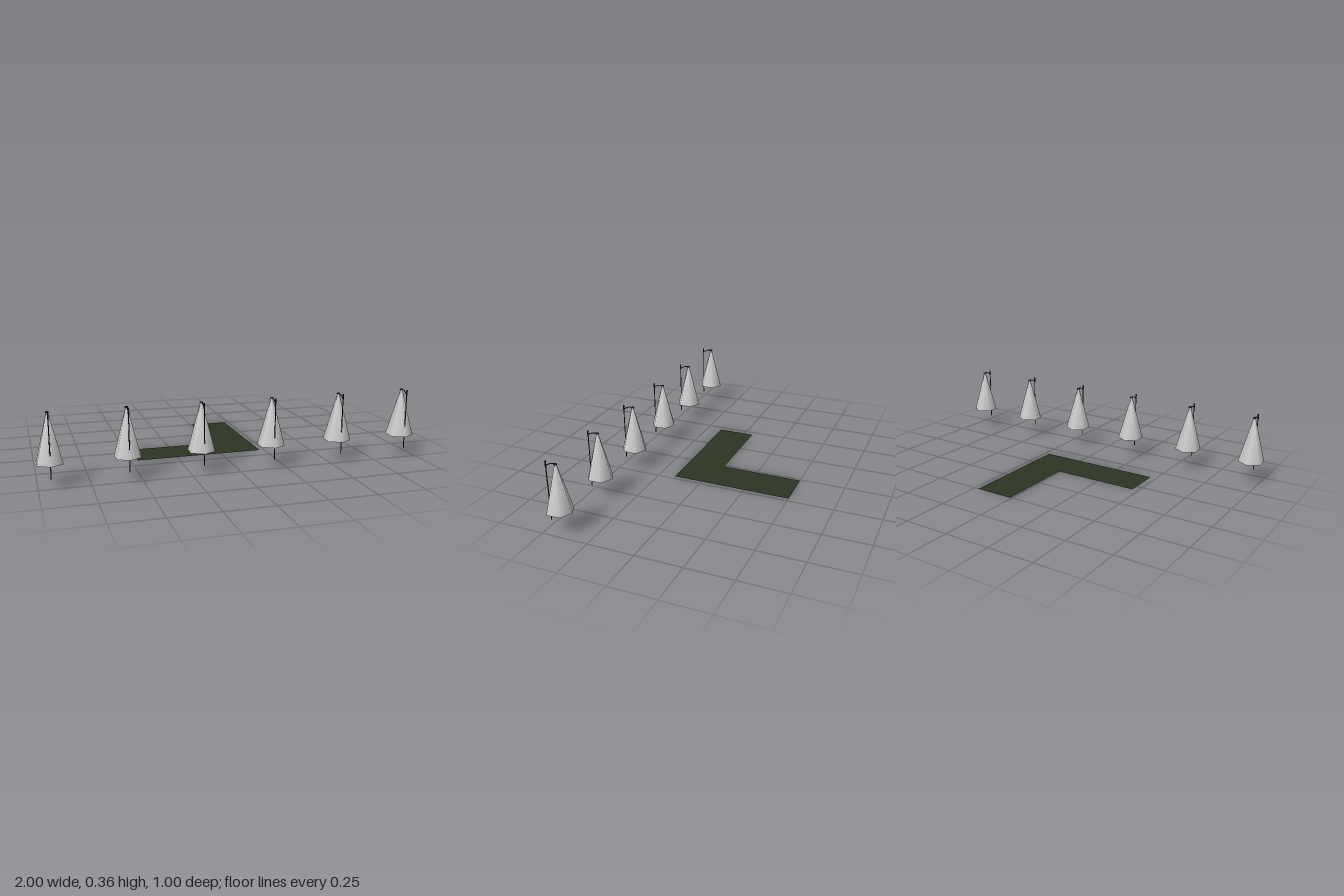
import * as THREE from 'three';

export function createModel() {
  const model = new THREE.Group();
  const material = (name, color, side = THREE.FrontSide) => {
    const m = new THREE.MeshStandardMaterial({ color, side });
    m.name = name;
    return m;
  };
  const shadeGrey = material('shadeGrey', 0xcccccc, THREE.DoubleSide);
  const iron = material('iron', 0x22262a);
  const olive = material('olive', 0x2e3523, THREE.DoubleSide);

  const add = (parent, name, geometry, mat, x = 0, y = 0, z = 0) => {
    const mesh = new THREE.Mesh(geometry, mat);
    mesh.name = name;
    mesh.position.set(x, y, z);
    parent.add(mesh);
    return mesh;
  };
  // Six-sided surfaces with corners on the z axis
  const hexLathe = (points) =>
    new THREE.LatheGeometry(points.map(([r, y]) => new THREE.Vector2(r, y)), 6);

  // Flat L-shaped ground patch
  const outline = [[-0.465, 0.16], [0.225, 0.16], [0.225, -0.5], [0.01, -0.5], [0.01, -0.05], [-0.465, -0.05]];
  const patch = new THREE.ShapeGeometry(new THREE.Shape(outline.map(([x, z]) => new THREE.Vector2(x, -z))));
  patch.rotateX(-Math.PI / 2);
  add(model, 'groundPatch', patch, olive);

  // Lamp parts, shared by all six lamps
  const coneZ = 0.428, poleZ = 0.484;
  const cone = hexLathe([[0.072, 0.108], [0.005, 0.357]]);
  const rim = hexLathe([[0.046, 0.108], [0.072, 0.108]]);
  const recess = hexLathe([[0, 0.15], [0.036, 0.15], [0.046, 0.108]]);
  const pole = new THREE.CylinderGeometry(0.0025, 0.0025, 0.315, 8);
  const collar = new THREE.CylinderGeometry(0.004, 0.004, 0.028, 8);
  const cap = new THREE.CylinderGeometry(0.007, 0.01, 0.006, 8);
  const bracket = new THREE.TubeGeometry(new THREE.CatmullRomCurve3([
    new THREE.Vector3(0, 0.34, poleZ),
    new THREE.Vector3(0, 0.353, 0.462),
    new THREE.Vector3(0, 0.358, 0.445),
    new THREE.Vector3(0, 0.358, coneZ),
  ]), 12, 0.0025, 6);

  // Row of lamps along the front
  for (let i = 0; i < 6; i++) {
    const lamp = new THREE.Group();
    lamp.name = 'lamp' + (i + 1);
    lamp.position.x = (i - 2.5) * 0.375;
    add(lamp, 'cone', cone, shadeGrey, 0, 0, coneZ);
    add(lamp, 'coneRim', rim, shadeGrey, 0, 0, coneZ);
    add(lamp, 'coneRecess', recess, shadeGrey, 0, 0, coneZ);
    add(lamp, 'pole', pole, iron, 0, 0.2025, poleZ);
    add(lamp, 'poleCollar', collar, iron, 0, 0.35, poleZ);
    add(lamp, 'bracket', bracket, iron);
    add(lamp, 'lampCap', cap, iron, 0, 0.358, coneZ);
    model.add(lamp);
  }
  return model;
}
